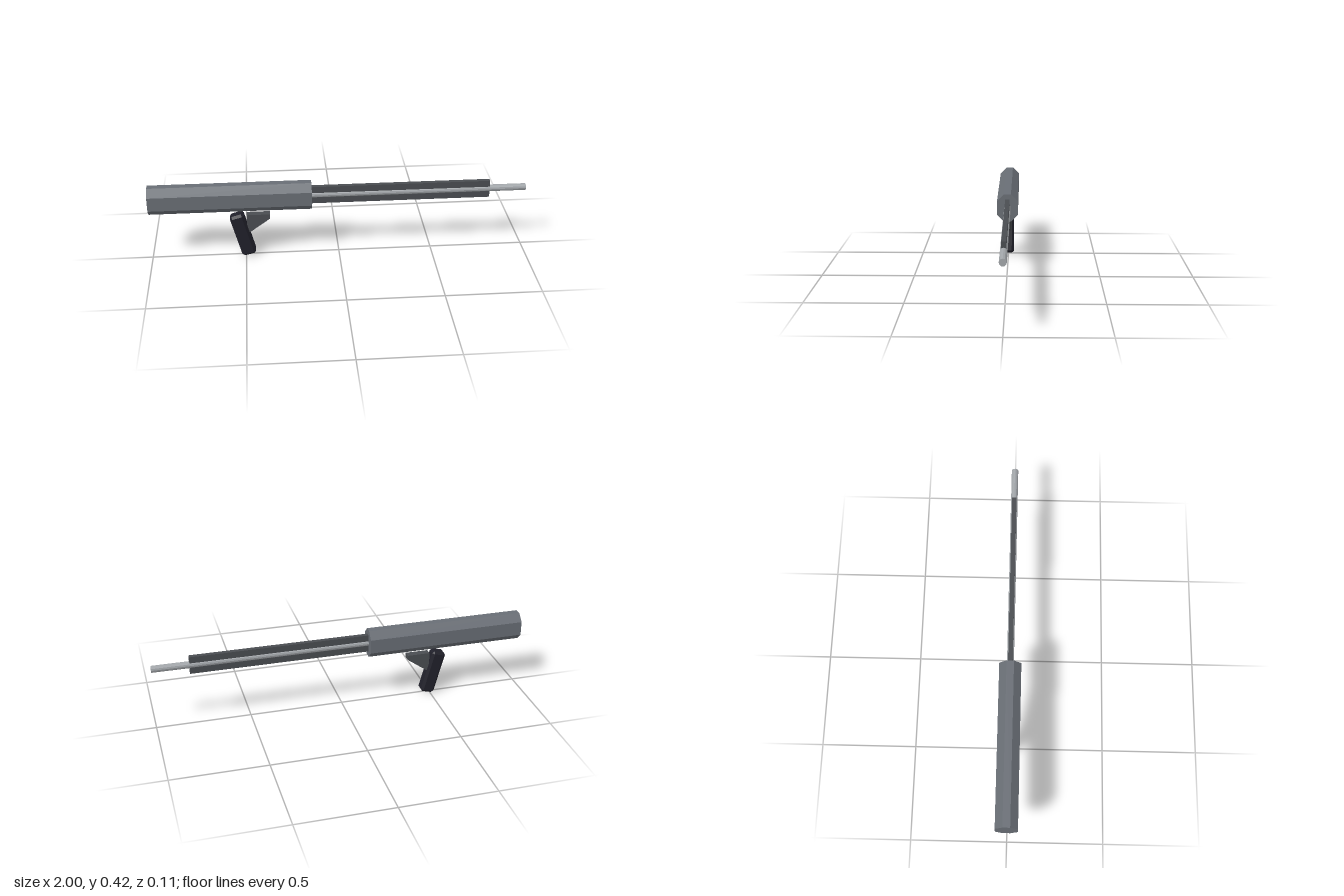
import * as THREE from 'three';
import { ConvexGeometry } from 'three/addons/geometries/ConvexGeometry.js';

const mat = (name, color) => {
  const m = new THREE.MeshStandardMaterial({ color, flatShading: true });
  m.name = name;
  return m;
};

// Box with every edge and corner cut flat
function chamferedBox(w, h, d, c) {
  const points = [];
  const half = [w / 2, h / 2, d / 2];
  for (const sx of [-1, 1]) for (const sy of [-1, 1]) for (const sz of [-1, 1])
    for (let outer = 0; outer < 3; outer++) {
      const p = half.map((v, i) => (i === outer ? v : v - c));
      points.push(new THREE.Vector3(p[0] * sx, p[1] * sy, p[2] * sz));
    }
  return new ConvexGeometry(points);
}

// Flat-sided prism from an outline, centred on its depth
function prism(outline, depth) {
  const shape = new THREE.Shape(outline.map(([x, y]) => new THREE.Vector2(x, y)));
  return new THREE.ExtrudeGeometry(shape, { depth, bevelEnabled: false }).translate(0, 0, -depth / 2);
}

export function createModel() {
  const group = new THREE.Group();
  const bodyGrey = mat('body grey', 0x696e75);
  const darkGrey = mat('dark grey', 0x4a4d51);
  const steel = mat('light steel', 0xa2a6aa);
  const gripBlack = mat('grip black', 0x20202a);

  const add = (name, geometry, material, x = 0, y = 0, z = 0) => {
    const mesh = new THREE.Mesh(geometry, material);
    mesh.name = name;
    mesh.position.set(x, y, z);
    group.add(mesh);
    return mesh;
  };

  const axisY = 0.348;

  // Octagonal housing along x
  const octagon = [
    [-0.019, 0.076], [-0.057, 0.038], [-0.057, -0.038], [-0.019, -0.076],
    [0.019, -0.076], [0.057, -0.038], [0.057, 0.038], [0.019, 0.076],
  ];
  add('housing', prism(octagon, 0.855).rotateY(Math.PI / 2), bodyGrey, -0.5725, axisY);

  // Tall thin rail with the barrel running through it
  add('rail', new THREE.BoxGeometry(0.965, 0.095, 0.024), darkGrey, 0.3225, axisY);
  add('barrel', new THREE.CylinderGeometry(0.018, 0.018, 1.16, 12).rotateZ(Math.PI / 2), steel, 0.42, axisY);

  // Tilted grip
  const grip = add('grip', chamferedBox(0.077, 0.246, 0.064, 0.0125), gripBlack, -0.513, 0.1285);
  grip.rotation.z = THREE.MathUtils.degToRad(15);

  // Wedge in front of the grip
  const wedge = [[-0.489, 0.247], [-0.489, 0.14], [-0.475, 0.144], [-0.366, 0.222], [-0.366, 0.247]];
  add('triggerWedge', prism(wedge, 0.038), darkGrey);

  return group;
}
